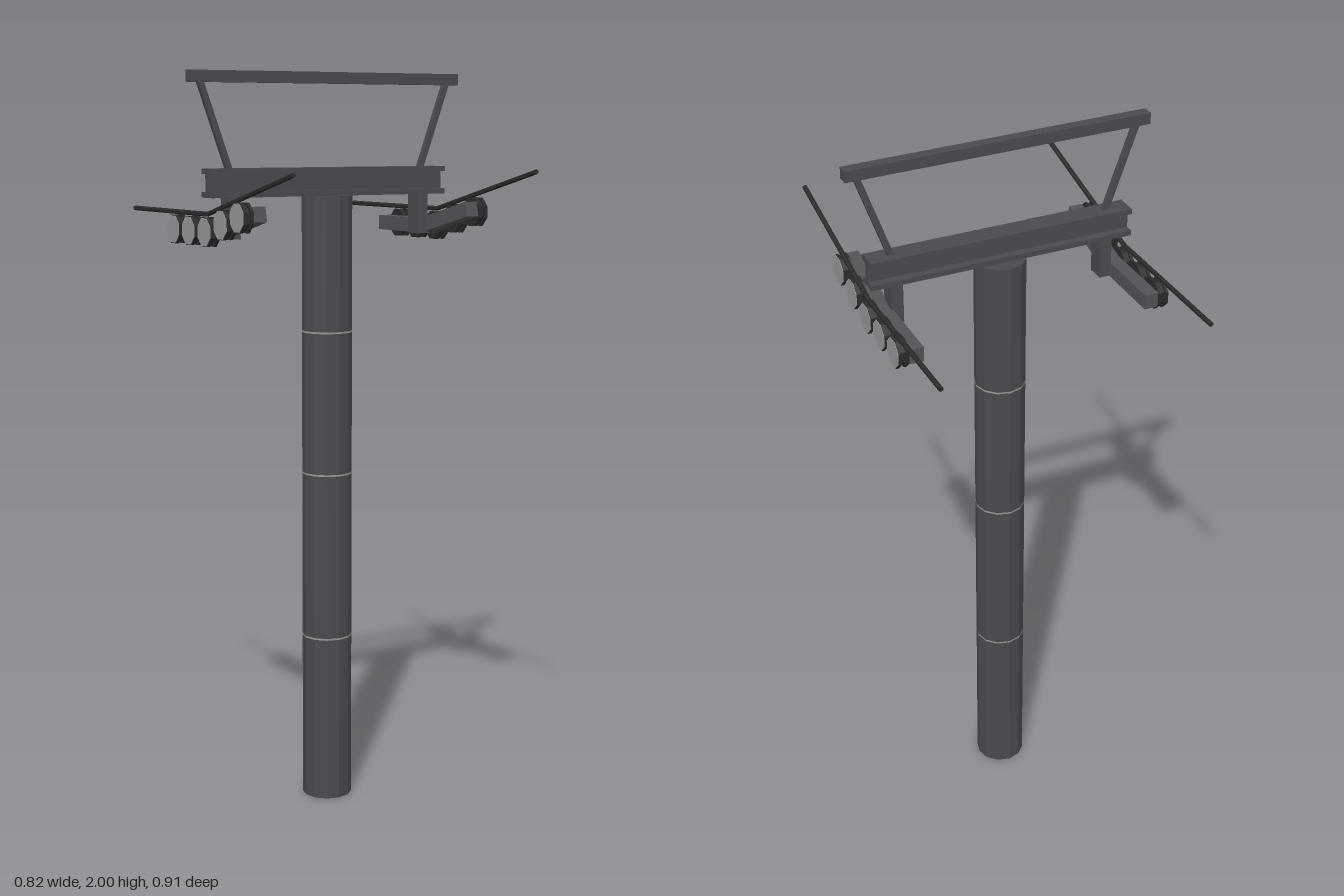
import * as THREE from 'three';

const mat = (name, color) => {
  const m = new THREE.MeshStandardMaterial({ color, flatShading: true });
  m.name = name;
  return m;
};

export function createModel() {
  const steel = mat('darkSteel', 0x4a494f);
  const frame = mat('frameGrey', 0x525156);
  const rubber = mat('blackRubber', 0x2b2b2d);
  const pale = mat('paleMetal', 0x969696);
  const root = new THREE.Group();
  root.name = 'liftTower';

  const add = (parent, name, geo, material, x = 0, y = 0, z = 0) => {
    const mesh = new THREE.Mesh(geo, material);
    mesh.name = name;
    mesh.position.set(x, y, z);
    parent.add(mesh);
    return mesh;
  };
  const box = (parent, name, material, w, h, d, x, y, z) =>
    add(parent, name, new THREE.BoxGeometry(w, h, d), material, x, y, z);
  // Bar between two points, its local y axis along the run
  const span = (parent, name, material, geoFor, a, b) => {
    const from = new THREE.Vector3(...a), to = new THREE.Vector3(...b);
    const dir = to.clone().sub(from);
    const mesh = add(parent, name, geoFor(dir.length()), material);
    mesh.position.copy(from).add(to).multiplyScalar(0.5);
    mesh.quaternion.setFromUnitVectors(new THREE.Vector3(0, 1, 0), dir.normalize());
    return mesh;
  };
  // Eight-sided disc with its axis along x and a flat on top
  const disc = (r, w) => new THREE.CylinderGeometry(r, r, w, 8)
    .rotateY(Math.PI / 8).rotateZ(Math.PI / 2);

  // Pole with thin joint bands
  add(root, 'pole', new THREE.CylinderGeometry(0.068, 0.068, 1.675, 12), steel, 0, 0.8375, 0);
  for (const y of [0.46, 0.92, 1.31]) {
    add(root, 'jointBand', new THREE.CylinderGeometry(0.0686, 0.0686, 0.005, 12, 1, true), pale, 0, y, 0);
  }

  // Crossarm as an I-beam
  const arm = new THREE.Group();
  arm.name = 'crossarm';
  root.add(arm);
  box(arm, 'lowerFlange', steel, 0.72, 0.014, 0.06, 0, 1.682, 0);
  box(arm, 'web', steel, 0.72, 0.06, 0.016, 0, 1.715, 0);
  box(arm, 'upperFlange', steel, 0.72, 0.014, 0.06, 0, 1.743, 0);

  // Upper rail on leaning struts
  box(root, 'topRail', steel, 0.82, 0.03, 0.03, 0, 1.985, 0);

  for (const [side, s] of [['left', 1], ['right', -1]]) {
    const g = new THREE.Group();
    g.name = side + 'SheaveAssembly';
    root.add(g);
    span(g, 'strut', steel, (l) => new THREE.BoxGeometry(0.016, l, 0.014),
      [s * 0.295, 1.745, 0], [s * 0.378, 1.975, 0]);

    // Hanger and bent carrier beam
    box(g, 'hanger', steel, 0.032, 0.11, 0.05, s * 0.291, 1.622, 0);
    const beam = (l) => new THREE.BoxGeometry(0.037, l, 0.04);
    span(g, 'carrierBeam', frame, beam, [s * 0.3215, 1.587, 0.005], [s * 0.3215, 1.587, -0.222]);
    span(g, 'carrierBeam', frame, beam, [s * 0.3215, 1.587, -0.005], [s * 0.3215, 1.64, 0.218]);

    // Grooved sheaves with pale outer faces
    for (const [z, y] of [[0.185, 1.631], [0.093, 1.609], [0, 1.587], [-0.093, 1.587], [-0.185, 1.587]]) {
      const wheel = new THREE.Group();
      wheel.name = 'sheave';
      wheel.position.set(s * 0.355, y, z);
      g.add(wheel);
      for (const x of [-0.01, 0.01]) add(wheel, 'flange', disc(0.041, 0.008), rubber, x, 0, 0);
      add(wheel, 'groove', disc(0.035, 0.014), rubber);
      add(wheel, 'facePlate', disc(0.039, 0.002), pale, s * 0.0145, 0, 0);
    }

    // Cable bending over the sheaves
    const rope = (l) => new THREE.CylinderGeometry(0.0065, 0.0065, l, 6);
    span(g, 'cable', rubber, rope, [s * 0.357, 1.633, -0.456], [s * 0.357, 1.633, 0.002]);
    span(g, 'cable', rubber, rope, [s * 0.357, 1.633, -0.002], [s * 0.357, 1.743, 0.456]);
  }
  return root;
}
